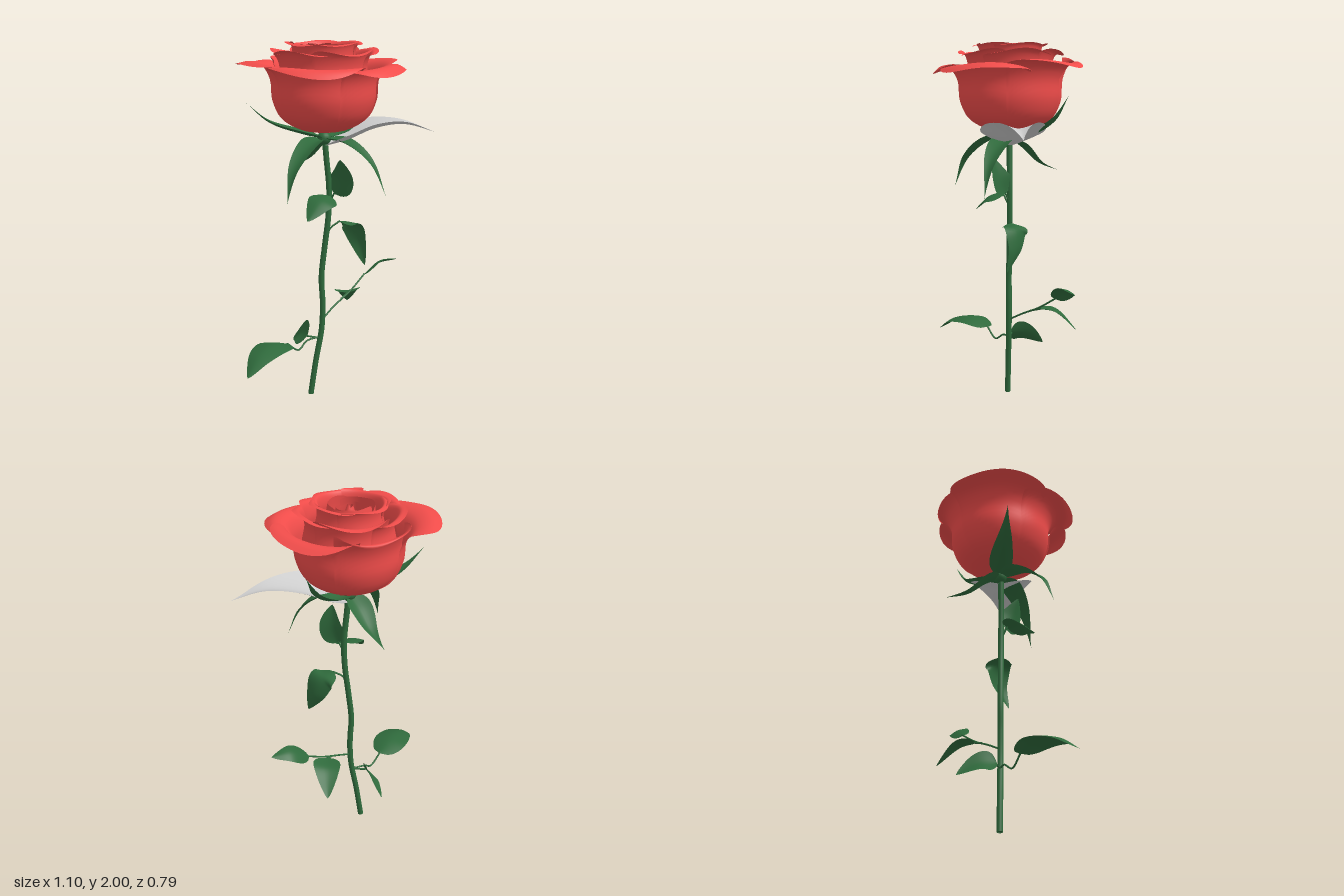
import * as THREE from 'three';

const V = (p) => new THREE.Vector3(...p);
const mat = (color) => new THREE.MeshStandardMaterial({ color, side: THREE.DoubleSide });
const red = mat(0xf04c4a), green = mat(0x2f6a3c), grey = mat(0xcccccc);
const CX = -0.08, CZ = -0.03; // axis of the bloom

// Smooth sheet from a rule fn(u, v) with u in [-1, 1] and v in [0, 1]
function sheet(nu, nv, fn) {
  const pos = [], idx = [];
  for (let j = 0; j <= nv; j++)
    for (let i = 0; i <= nu; i++) pos.push(...fn((2 * i) / nu - 1, j / nv));
  for (let j = 0; j < nv; j++)
    for (let i = 0; i < nu; i++) {
      const a = j * (nu + 1) + i, b = a + nu + 1;
      idx.push(a, b, a + 1, a + 1, b, b + 1);
    }
  const g = new THREE.BufferGeometry();
  g.setAttribute('position', new THREE.Float32BufferAttribute(pos, 3));
  g.setIndex(idx);
  g.computeVertexNormals();
  return g;
}

function add(parent, name, geometry, material) {
  const m = new THREE.Mesh(geometry, material);
  m.name = name;
  parent.add(m);
  return m;
}

// Petal: a wedge of a turned profile, rounded at the top corners, with a wavy rim
function petal({ angle, size, lift, half, profile, drop, wave }) {
  const curve = new THREE.CatmullRomCurve3(profile.map(([r, y]) => new THREE.Vector3(r, y, 0)));
  return sheet(24, 28, (u, v) => {
    const p = curve.getPoint(v * (1 - drop * Math.abs(u) ** 2.5));
    const a = THREE.MathUtils.degToRad(angle + u * half);
    const flare = Math.pow(v, 5);
    const r = p.x * (1 + (size - 1) * flare) + 0.012 * u * v; // one edge tucks under the next petal
    const y = p.y + flare * (lift + wave * Math.sin(u * 4 + angle));
    return [CX + r * Math.cos(a), y, CZ + r * Math.sin(a)];
  });
}

// Leaf blade: a strip along a spine, cupped across its width
function blade({ path, side, width, cup, shape }) {
  const curve = new THREE.CatmullRomCurve3(path.map(V));
  const normal = (v) => new THREE.Vector3().crossVectors(V(side), curve.getTangent(v)).normalize();
  const up = Math.sign(normal(0.1).y) || 1;
  return sheet(8, 24, (u, v) => {
    const p = curve.getPoint(v), n = normal(v);
    const s = new THREE.Vector3().crossVectors(curve.getTangent(v), n);
    const w = (width / 2) * shape(v);
    p.addScaledVector(s, u * w).addScaledVector(n, up * cup * w * Math.abs(u) ** 1.5);
    return p.toArray();
  });
}
const leafShape = (v) => Math.max(0, Math.sin(Math.PI * Math.pow(v, 0.65))) ** 0.8;
const sepalShape = (v) => 0.06 * (1 - v) + Math.max(0, Math.sin(Math.PI * Math.pow(v, 0.6))) ** 1.4;

function tube(path, radius, segments = 24) {
  return new THREE.TubeGeometry(new THREE.CatmullRomCurve3(path.map(V)), segments, radius, 10);
}

export function createModel() {
  const model = new THREE.Group();
  model.name = 'rose';

  // Petal rings from the outside in, evenly spaced from a start angle
  const rings = [
    { name: 'outerPetal', count: 5, start: -110, half: 48, drop: 0.22, wave: 0.014,
      profile: [[0, 1.515], [0.13, 1.535], [0.23, 1.595], [0.275, 1.69], [0.285, 1.8], [0.325, 1.87], [0.39, 1.89], [0.45, 1.87]] },
    { name: 'middlePetal', count: 5, start: -155, half: 52, drop: 0.2, wave: 0.014,
      profile: [[0, 1.53], [0.12, 1.56], [0.2, 1.64], [0.24, 1.76], [0.225, 1.87], [0.25, 1.94], [0.29, 1.945]] },
    { name: 'innerPetal', count: 4, start: -120, half: 64, drop: 0.14, wave: 0.008,
      profile: [[0, 1.56], [0.1, 1.6], [0.16, 1.7], [0.18, 1.82], [0.16, 1.93], [0.175, 1.985], [0.205, 1.985]] },
    { name: 'heartPetal', count: 3, start: -90, half: 75, drop: 0.08, wave: 0.006,
      profile: [[0, 1.6], [0.08, 1.66], [0.12, 1.78], [0.125, 1.9], [0.115, 1.98]] },
    { name: 'budPetal', count: 2, start: -40, half: 110, drop: 0.06, wave: 0.004,
      profile: [[0, 1.62], [0.06, 1.7], [0.085, 1.82], [0.065, 1.96]] },
    { name: 'corePetal', count: 2, start: 0, half: 120, drop: 0.06, wave: 0,
      profile: [[0, 1.65], [0.035, 1.75], [0.045, 1.86], [0.012, 1.97]] },
  ];
  // Size and rim lift of each outer petal
  const outerRims = [[0.81, 0.02], [0.97, 0], [0.99, -0.03], [0.95, -0.025], [1.03, 0.005]];
  const bloom = new THREE.Group();
  bloom.name = 'bloom';
  model.add(bloom);
  rings.forEach((ring, k) => {
    for (let i = 0; i < ring.count; i++) {
      const [size, lift] = k === 0 ? outerRims[i] : [1, 0];
      const angle = ring.start + (i * 360) / ring.count;
      add(bloom, ring.name, petal({ ...ring, angle, size, lift }), red);
    }
  });

  // Stem with a closed foot, and the swelling under the bloom
  const stem = [[-0.165, 0], [-0.135, 0.2], [-0.1, 0.4], [-0.094, 0.55], [-0.1, 0.7], [-0.082, 0.87],
    [-0.06, 1.05], [-0.055, 1.2], [-0.07, 1.38], [-0.08, 1.5]];
  add(model, 'stem', tube(stem.map(([x, y]) => [x, y, -0.025]), 0.016, 60), green);
  const foot = add(model, 'stemFoot', new THREE.CircleGeometry(0.016, 10), green);
  foot.rotation.x = Math.PI / 2;
  foot.position.set(-0.165, 0.001, -0.025);
  const hip = add(model, 'hip', new THREE.SphereGeometry(0.038, 16, 12), green);
  hip.position.set(CX, 1.485, CZ);

  // Sepals: two bend points and a tip, all from one base
  const base = [CX, 1.48, CZ];
  const sepals = [
    { path: [[0.03, 1.46, 0.03], [0.15, 1.36, 0.1], [0.23, 1.18, 0.14]], side: [-0.5, 0, 0.85] },
    { path: [[-0.16, 1.47, 0.07], [-0.27, 1.36, 0.2], [-0.32, 1.19, 0.27]], side: [0.75, 0, 0.65] },
    { path: [[-0.2, 1.51, -0.02], [-0.38, 1.58, 0.01], [-0.5, 1.69, 0.03]], side: [0, 0, 1] },
    { path: [[-0.12, 1.43, -0.1], [-0.16, 1.34, -0.2], [-0.2, 1.29, -0.33]], side: [1, 0, -0.3] },
    { path: [[0.03, 1.5, -0.13], [0.13, 1.58, -0.24], [0.2, 1.72, -0.31]], side: [0.75, 0, 0.65] },
  ];
  for (const { path, side } of sepals)
    add(model, 'sepal', blade({ path: [base, ...path], side, width: 0.125, cup: 0.3, shape: sepalShape }), green);
  add(model, 'paleSepal', blade({
    path: [[CX, 1.44, CZ], [0.05, 1.475, CZ], [0.19, 1.53, CZ], [0.36, 1.55, CZ], [0.545, 1.5, CZ]],
    side: [0, 0, 1], width: 0.34, cup: 0.3, shape: sepalShape,
  }), grey);

  // Side twigs
  const twigs = [
    [[-0.11, 0.345, -0.025], [-0.19, 0.335, 0], [-0.24, 0.3, 0.04], [-0.31, 0.36, 0.085]],
    [[-0.12, 0.34, -0.025], [-0.185, 0.345, -0.05]],
    [[-0.095, 0.45, -0.025], [-0.02, 0.5, -0.09], [0.09, 0.56, -0.17], [0.19, 0.635, -0.25]],
    [[0.03, 0.53, -0.13], [0.08, 0.55, -0.18]],
    [[-0.075, 0.92, -0.025], [-0.05, 0.98, -0.025], [0.005, 1.02, -0.03]],
    [[-0.058, 1.12, -0.025], [-0.03, 1.19, 0.005]],
    [[-0.058, 1.1, -0.025], [-0.065, 1.175, 0.01]],
  ];
  for (const path of twigs) add(model, 'twig', tube(path, 0.005), green);

  // Leaves, arched from base to tip
  const leaves = [
    { path: [[-0.3, 0.355, 0.075], [-0.39, 0.395, 0.16], [-0.48, 0.37, 0.27], [-0.55, 0.29, 0.36]], side: [0.75, 0, 0.65], width: 0.2, cup: -0.2 },
    { path: [[-0.18, 0.35, -0.04], [-0.2, 0.34, -0.12], [-0.235, 0.27, -0.24]], side: [0.55, 0.8, 0.2], width: 0.15, cup: 0.2 },
    { path: [[0.185, 0.63, -0.245], [0.29, 0.7, -0.29], [0.4, 0.7, -0.31]], side: [0.1, 0.5, 1], width: 0.11, cup: -0.2 },
    { path: [[0.075, 0.55, -0.17], [0.09, 0.535, -0.26], [0.11, 0.43, -0.38]], side: [1, 0.1, 0.2], width: 0.15, cup: 0.15 },
    { path: [[0, 1.02, -0.03], [0.075, 1, -0.05], [0.115, 0.9, -0.045], [0.14, 0.77, 0.01]], side: [0.7, 0, 0.7], width: 0.16, cup: -0.2 },
    { path: [[-0.03, 1.18, 0], [0, 1.27, 0.04], [-0.01, 1.38, 0.07]], side: [0.7, 0, 0.7], width: 0.155, cup: 0.2 },
    { path: [[-0.06, 1.175, 0.005], [-0.12, 1.16, 0.08], [-0.2, 1.07, 0.16]], side: [0.8, -0.25, 0.57], width: 0.16, cup: -0.2 },
  ];
  for (const l of leaves) add(model, 'leaf', blade({ shape: leafShape, ...l }), green);

  return model;
}
